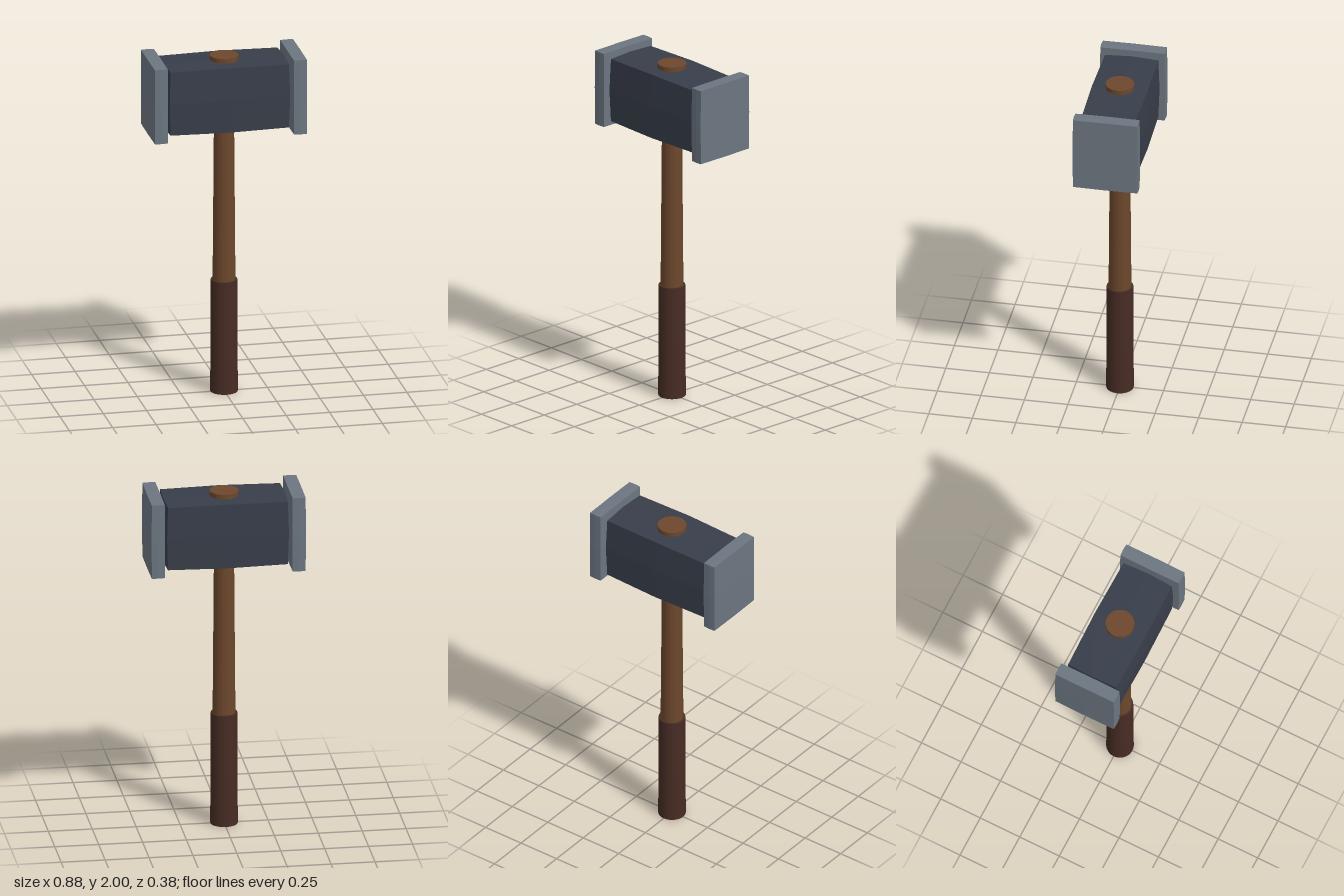
import * as THREE from 'three';

const paint = (name, color) => {
  const m = new THREE.MeshStandardMaterial({ color });
  m.name = name;
  return m;
};

// Box whose face centres and edge midpoints swell slightly outwards
function bulgedBox(size, bulge) {
  const g = new THREE.BoxGeometry(...size, 2, 2, 2).toNonIndexed();
  const p = g.attributes.position;
  for (let i = 0; i < p.count; i++) {
    const n = [0, 1, 2].map((k) => p.getComponent(i, k) / (size[k] / 2));
    for (let k = 0; k < 3; k++) {
      const a = n[(k + 1) % 3], b = n[(k + 2) % 3];
      const swell = bulge[k] * (1 - (a * a + b * b) / 2);
      p.setComponent(i, k, n[k] * (size[k] / 2 + swell));
    }
  }
  g.computeVertexNormals();
  return g;
}

export function createModel() {
  const iron = paint('dark iron', 0x383e4a);
  const steel = paint('grey steel', 0x6c7680);
  const wood = paint('brown wood', 0x6c472c);
  const leather = paint('dark leather', 0x472c24);

  const model = new THREE.Group();
  model.name = 'hammer';
  const add = (name, geometry, material, x, y) => {
    const mesh = new THREE.Mesh(geometry, material);
    mesh.name = name;
    mesh.position.set(x, y, 0);
    model.add(mesh);
  };
  const rod = (name, rTop, rBottom, y0, y1, material) =>
    add(name, new THREE.CylinderGeometry(rTop, rBottom, y1 - y0, 32), material, 0, (y0 + y1) / 2);

  // Handle, grip and the collar passing through the head
  rod('grip', 0.075, 0.078, 0, 0.665, leather);
  rod('handle', 0.057, 0.065, 0.6, 1.6, wood);
  rod('collar', 0.081, 0.081, 1.556, 2, wood);

  // Head block
  add('head', bulgedBox([0.682, 0.374, 0.306], [0.012, 0.009, 0.012]), iron, 0, 1.779);

  // Striking plates at both ends
  for (const [side, name] of [[1, 'leftPlate'], [-1, 'rightPlate']]) {
    add(name, bulgedBox([0.074, 0.44, 0.369], [0.002, 0.002, 0.004]), steel, side * 0.401, 1.778);
  }
  return model;
}
